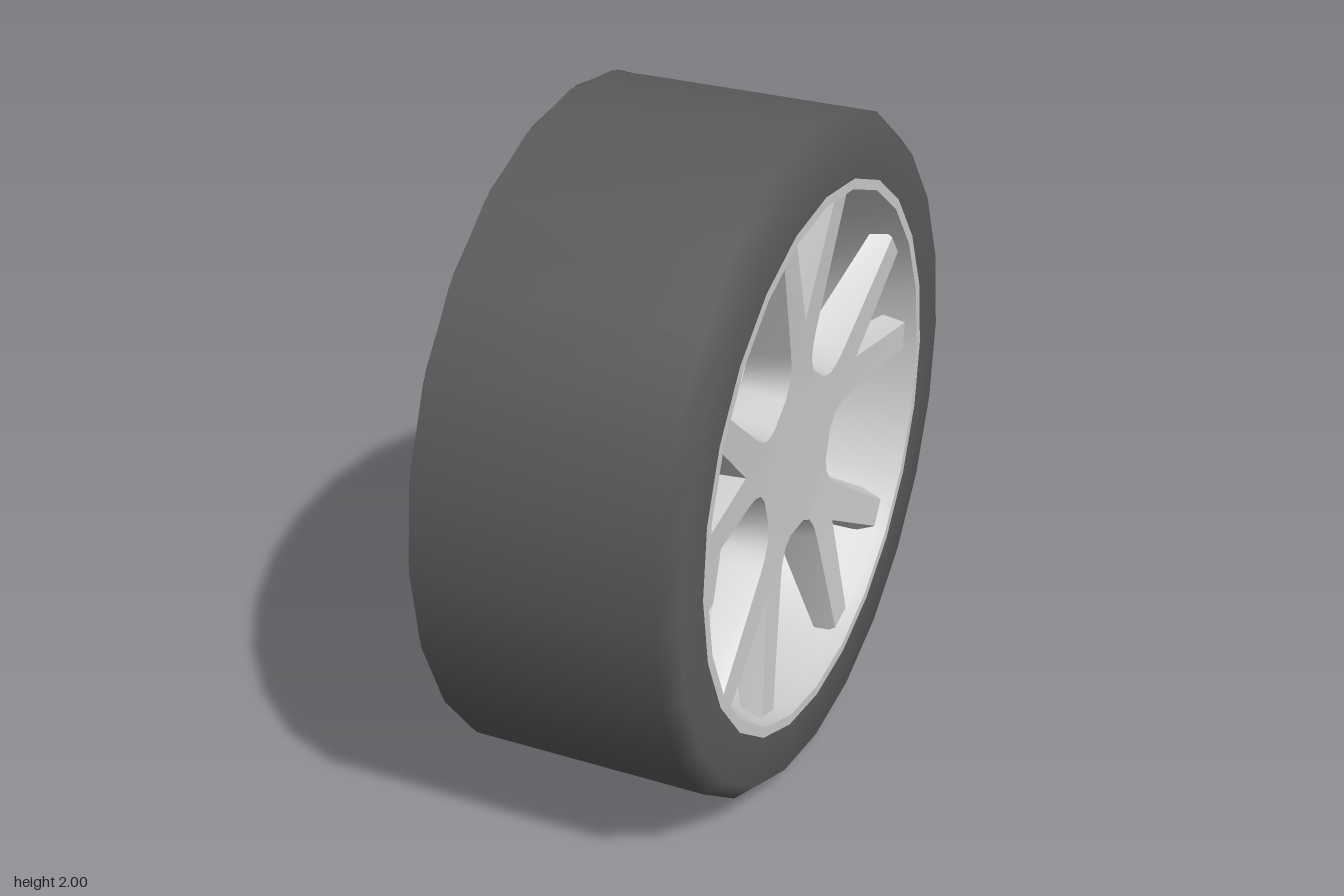
import * as THREE from 'three';
import { toCreasedNormals } from 'three/addons/utils/BufferGeometryUtils.js';

const grey = new THREE.MeshStandardMaterial({ color: 0xcccccc, side: THREE.DoubleSide });
const rubber = new THREE.MeshStandardMaterial({ color: 0x5a5a5a, side: THREE.DoubleSide });
const TWIST = 0.017; // the facets sit one degree off vertical
const BACK = -0.385, FRONT = 0.38;

// Built around the z axis, outer face towards +z; turned onto x at the end.
export function createModel() {
  const wheel = new THREE.Group();
  wheel.name = 'wheel';

  const add = (name, geometry, material = grey) => {
    const mesh = new THREE.Mesh(geometry, material);
    mesh.name = name;
    wheel.add(mesh);
  };
  const lathe = (profile, sides, twist = TWIST) =>
    new THREE.LatheGeometry(profile.map(([r, z]) => new THREE.Vector2(r, z)), sides)
      .rotateX(Math.PI / 2).rotateZ(twist);
  const polar = (r, a) => new THREE.Vector2(r * Math.cos(a), r * Math.sin(a));
  const ring = (r, n, twist) =>
    Array.from({ length: n }, (_, i) => polar(r, (i / n) * Math.PI * 2 + twist));

  // Tyre tread, chamfered shoulder and outer sidewall
  add('tyre', lathe([[1, BACK], [1, 0.33], [0.955, FRONT], [0.81, FRONT]], 24), rubber);

  // Flat inner sidewall with a twelve-sided opening
  const holeTwist = 0.29;
  const wall = new THREE.Shape(ring(1, 24, TWIST));
  wall.holes.push(new THREE.Path(ring(0.6, 12, holeTwist)));
  add('innerSidewall',
    new THREE.ShapeGeometry(wall).rotateY(Math.PI).translate(0, 0, BACK), rubber);
  add('innerBarrel', lathe([[0.6, 0], [0.6, BACK]], 12, -holeTwist));

  // Rim lip and dished outer barrel
  add('rim', toCreasedNormals(
    lathe([[0.81, FRONT], [0.78, FRONT], [0.77, 0.34], [0.63, 0]], 24), 0.6));

  // Brake disc and hub cone
  add('brakeDisc', toCreasedNormals(
    lathe([[0, -0.035], [0.585, -0.035], [0.585, -0.01], [0.625, -0.01], [0.625, 0.015], [0, 0.015]], 24), 0.6));
  add('hubCone', lathe([[0.355, 0.01], [0.24, 0.2]], 10, Math.PI / 10));

  // Brake caliper, hugging the disc behind the spokes
  const arc = new THREE.Shape();
  arc.absarc(0, 0, 0.62, -0.9, 0.7, false);
  arc.absarc(0, 0, 0.4, 0.7, -0.9, true);
  add('caliper', toCreasedNormals(new THREE.ExtrudeGeometry(arc, {
    depth: 0.06, curveSegments: 8, bevelEnabled: false,
  }).translate(0, 0, 0.01), 0.6));

  // Five forked spokes as one star: each fork is a half outline plus its mirror
  const deg = Math.PI / 180;
  const half = [
    polar(0.268, 27 * deg), polar(0.29, 21 * deg), polar(0.325, 18.5 * deg),
    polar(0.37, 18 * deg), new THREE.Vector2(0.735, 0.255), new THREE.Vector2(0.78, 0.13),
  ];
  const outline = [];
  for (let k = 0; k < 5; k++) {
    const fork = [
      ...half.map((p) => new THREE.Vector2(p.x, -p.y)),
      new THREE.Vector2(0.46, 0),
      ...[...half].reverse(),
    ];
    const centre = new THREE.Vector2();
    fork.forEach((p) => outline.push(p.clone().rotateAround(centre, (90 + 72 * k) * deg)));
  }
  const bevel = 0.024;
  const star = new THREE.ExtrudeGeometry(new THREE.Shape(outline), {
    depth: 0.01, bevelThickness: 0.05, bevelSize: bevel, bevelOffset: -bevel, bevelSegments: 1,
  });
  // Face rises gently towards the tips while the spokes get thinner
  const pos = star.attributes.position;
  for (let i = 0; i < pos.count; i++) {
    const reach = Math.max(0, Math.hypot(pos.getX(i), pos.getY(i)) - 0.25);
    const face = 0.31 + 0.07 * reach;
    const thickness = 0.14 - 0.16 * reach;
    pos.setZ(i, pos.getZ(i) > 0.03 ? face : face - thickness);
  }
  add('spokes', toCreasedNormals(star, 0.9));

  // Turn the axle onto x and stand the wheel on the ground
  wheel.rotation.y = Math.PI / 2;
  wheel.position.y = 1;
  const model = new THREE.Group();
  model.name = 'carWheel';
  model.add(wheel);
  return model;
}
